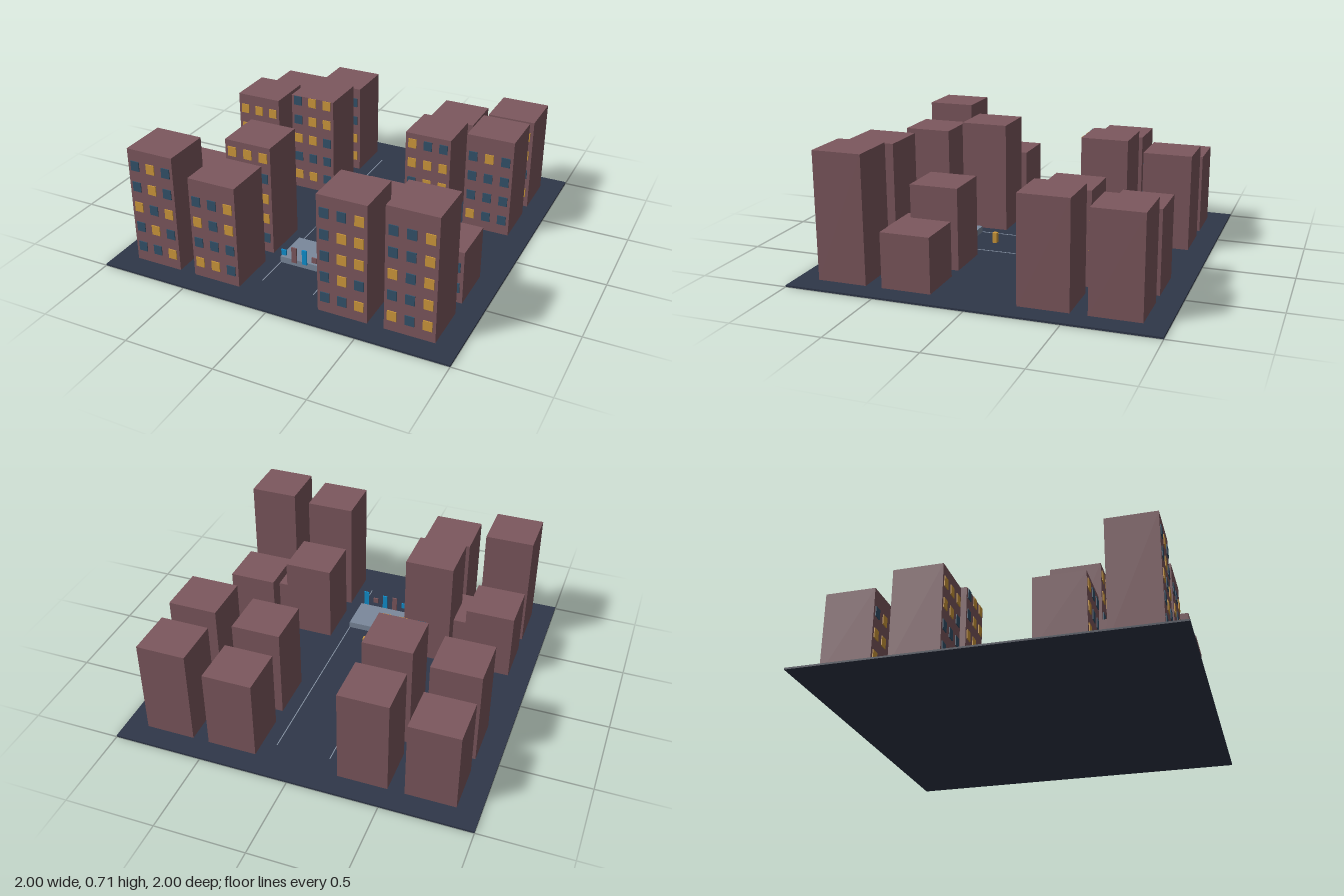
import * as THREE from 'three';

function material(name, color) {
  const m = new THREE.MeshStandardMaterial({ color });
  m.name = name;
  return m;
}

export function createModel() {
  const city = new THREE.Group();
  city.name = 'cityBlock';

  const asphalt = material('asphalt', 0x2f3749);
  const brick = material('brick', 0x7d585e);
  const lit = material('litWindow', 0xd09a3c);
  const dark = material('darkWindow', 0x34536b);
  const blue = material('signBlue', 0x1090d0);
  const concrete = material('concrete', 0x7b899c);
  const paint = material('roadPaint', 0x8c99ab);

  // Box given by its centre in x and z and its bottom and top in y
  function box(parent, name, mat, w, d, x, z, y0, y1) {
    const mesh = new THREE.Mesh(new THREE.BoxGeometry(w, y1 - y0, d), mat);
    mesh.name = name;
    mesh.position.set(x, (y0 + y1) / 2, z);
    parent.add(mesh);
    return mesh;
  }

  let seed = 7;
  const random = () => (seed = (seed * 16807) % 2147483647) / 2147483647;

  const GROUND = 0.01;
  box(city, 'ground', asphalt, 2, 2, 0, 0, 0, GROUND);

  // Road edge lines
  for (const s of [-1, 1]) box(city, 'roadLine', paint, 0.005, 1.54, s * 0.152, 0, GROUND, 0.012);

  // Towers: one row of heights for each z, windows on the front only
  const columns = [-0.737, -0.37, 0.37, 0.737];
  const rows = [
    { z: 0.737, heights: [0.685, 0.595, 0.685, 0.715] },
    { z: 0.37, heights: [0.655, 0.655, 0.47, 0.315].map((h, i) => (i === 0 ? 0.405 : h)) },
    { z: -0.37, heights: [0.56, 0.62, 0.53, 0.595] },
    { z: -0.737, heights: [0.47, 0.56, 0.47, 0.56] },
  ];
  // Lit windows of the street-side towers, floors from the bottom up
  const patterns = {
    '0,0': ['001', '010', '101', '010', '010'],
    '0,1': ['110', '000', '101', '001'],
    '0,2': ['001', '010', '011', '011', '001'],
    '0,3': ['101', '001', '101', '001', '001'],
    '1,1': ['010', '101', '011', '110', '111'],
  };
  rows.forEach(({ z, heights }, r) => heights.forEach((h, c) => {
    const tower = new THREE.Group();
    tower.name = 'tower';
    tower.position.set(columns[c], 0, z);
    box(tower, 'towerWalls', brick, 0.275, 0.275, 0, 0, GROUND, h);
    const pattern = patterns[`${r},${c}`];
    for (let floor = 0; 0.1 + floor * 0.1225 + 0.028 < h; floor++) {
      const y = 0.1 + floor * 0.1225;
      for (let i = 0; i < 3; i++) {
        const on = pattern && pattern[floor] ? pattern[floor][i] === '1' : random() < 0.45;
        box(tower, on ? 'litWindow' : 'darkWindow', on ? lit : dark,
          0.05, 0.008, (i - 1) * 0.095, 0.1385, y - 0.028, y + 0.028);
      }
    }
    city.add(tower);
  }));

  // Low shops tucked between the front towers
  for (const s of [-1, 1]) box(city, 'shop', brick, 0.275, 0.275, s * 0.492, 0.458, GROUND, 0.255);
  box(city, 'shopSign', blue, 0.22, 0.009, 0.492, 0.599, 0.17, 0.215);

  // Platform in the road with a row of panels on its front
  box(city, 'platform', concrete, 0.307, 0.215, 0, 0.463, GROUND, 0.047);
  const panels = [
    [-0.125, 0.03, 0.07, 0.103, blue],
    [-0.063, 0.03, 0.037, 0.13, brick],
    [0, 0.028, 0.042, 0.13, blue],
    [0.06, 0.03, 0.068, 0.1, brick],
    [0.122, 0.03, 0.037, 0.135, blue],
  ];
  for (const [x, w, y0, y1, mat] of panels) box(city, 'panel', mat, w, 0.008, x, 0.58, y0, y1);

  // Small amber post in the road
  box(city, 'post', lit, 0.028, 0.026, 0, 0.214, GROUND, 0.07);

  return city;
}
